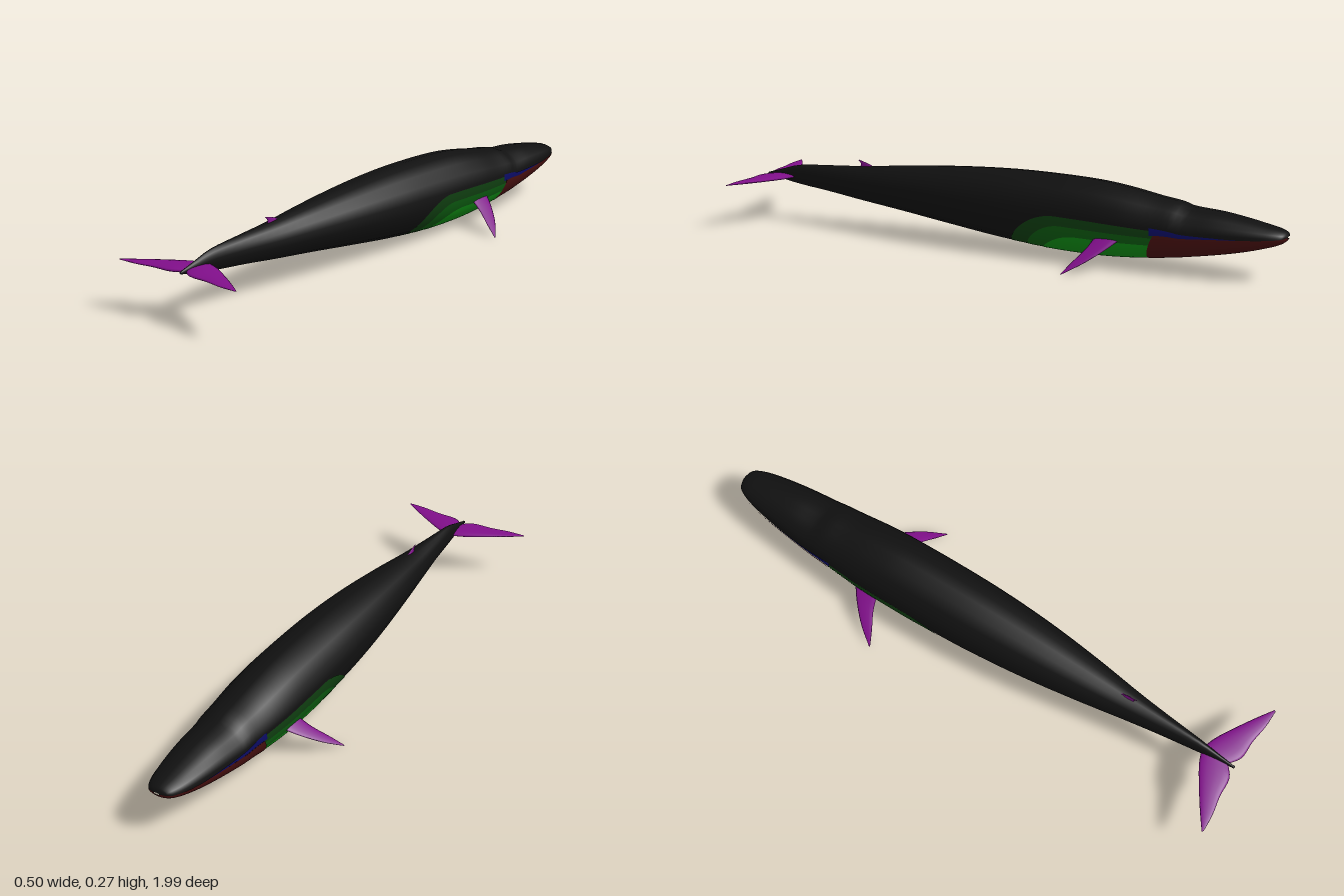
import * as THREE from 'three';
import { mergeVertices } from 'three/addons/utils/BufferGeometryUtils.js';

const mat = (name, color, side = THREE.FrontSide) => {
  const m = new THREE.MeshStandardMaterial({ color, side });
  m.name = name;
  return m;
};

// Body stations: z, top y, bottom y, half width (tail to snout)
const STATIONS = [
  [0.97, 0.162, 0.152, 0.004], [0.9, 0.183, 0.14, 0.011], [0.84, 0.2, 0.13, 0.018],
  [0.7, 0.212, 0.115, 0.035], [0.58, 0.221, 0.1, 0.052], [0.4, 0.24, 0.08, 0.08],
  [0.2, 0.258, 0.055, 0.105], [0, 0.269, 0.031, 0.12], [-0.18, 0.27, 0.018, 0.125],
  [-0.34, 0.264, 0.015, 0.125], [-0.45, 0.251, 0.02, 0.122], [-0.56, 0.232, 0.031, 0.113],
  [-0.605, 0.226, 0.038, 0.109], [-0.635, 0.221, 0.042, 0.107], [-0.665, 0.211, 0.047, 0.104],
  [-0.77, 0.203, 0.066, 0.093], [-0.86, 0.19, 0.086, 0.08], [-0.93, 0.177, 0.106, 0.065],
  [-0.97, 0.168, 0.12, 0.05], [-0.99, 0.159, 0.132, 0.034], [-0.998, 0.149, 0.143, 0.01],
];

// Smooth interpolation of the stations at any z
function section(z) {
  const S = STATIONS, n = S.length;
  let i = 0;
  while (i < n - 2 && z < S[i + 1][0]) i++;
  const a = S[i], b = S[i + 1], p = S[Math.max(i - 1, 0)], q = S[Math.min(i + 2, n - 1)];
  const d = b[0] - a[0], t = THREE.MathUtils.clamp((z - a[0]) / d, 0, 1);
  return [1, 2, 3].map((k) => {
    const m0 = ((b[k] - p[k]) / (b[0] - p[0])) * d, m1 = ((q[k] - a[k]) / (q[0] - a[0])) * d;
    const t2 = t * t, t3 = t2 * t;
    return (2 * t3 - 3 * t2 + 1) * a[k] + (t3 - 2 * t2 + t) * m0 + (3 * t2 - 2 * t3) * b[k] + (t3 - t2) * m1;
  });
}

// Point on the skin; the angle is measured from the keel towards +x
function skin(z, angle, offset = 0) {
  const [top, bottom, w] = section(z);
  return [(w + offset) * Math.sin(angle), (top + bottom) / 2 - ((top - bottom) / 2 + offset) * Math.cos(angle), z];
}

// Smooth grid surface from fn(u, v) -> [x, y, z]
function grid(nu, nv, fn) {
  const pos = [], index = [];
  for (let i = 0; i <= nu; i++) {
    for (let j = 0; j <= nv; j++) {
      pos.push(...fn(i / nu, j / nv));
      if (i === nu || j === nv) continue;
      const a = i * (nv + 1) + j, b = a + nv + 1;
      index.push(a, b, b + 1, a, b + 1, a + 1);
    }
  }
  let g = new THREE.BufferGeometry();
  g.setAttribute('position', new THREE.Float32BufferAttribute(pos, 3));
  g.setIndex(index);
  g = mergeVertices(g, 1e-5);
  g.computeVertexNormals();
  return g;
}

// Lens-shaped fin through [leading edge, trailing edge, half thickness] sections
function fin(sections, normal) {
  const lead = new THREE.CatmullRomCurve3(sections.map((s) => new THREE.Vector3(...s[0])));
  const trail = new THREE.CatmullRomCurve3(sections.map((s) => new THREE.Vector3(...s[1])));
  const thick = new THREE.CatmullRomCurve3(sections.map((s) => new THREE.Vector3(s[2], 0, 0)));
  const n = new THREE.Vector3(...normal).normalize();
  return grid(16, 12, (u, v) => {
    const a = v * Math.PI * 2;
    return lead.getPoint(u).lerp(trail.getPoint(u), 0.5 - 0.5 * Math.cos(a))
      .addScaledVector(n, Math.sin(a) * thick.getPoint(u).x).toArray();
  });
}

export function createModel() {
  const black = mat('black skin', 0x101010);
  const outerGreen = mat('dark green', 0x0f3d10);
  const midGreen = mat('middle green', 0x0c5a10);
  const brightGreen = mat('bright green', 0x0f8c14);
  const jawRed = mat('dark red', 0x481010);
  const blue = mat('dark blue', 0x0b0b62);
  const purple = mat('purple', 0x800f8a, THREE.DoubleSide);

  const model = new THREE.Group();
  const add = (name, geometry, material) => {
    const mesh = new THREE.Mesh(geometry, material);
    mesh.name = name;
    model.add(mesh);
    return mesh;
  };
  const lerp = THREE.MathUtils.lerp, rad = THREE.MathUtils.degToRad;

  // Body, with rings gathered towards the snout
  add('body', grid(90, 18, (u, v) => skin(lerp(0.97, -0.998, Math.sin(u * Math.PI / 2)), v * Math.PI * 2)), black);
  add('tailStub', new THREE.SphereGeometry(0.005, 10, 8).translate(0, 0.157, 0.97), black);

  // Nested belly patches, rounded at the back
  const belly = (name, material, back, length, degrees, offset) =>
    add(name, grid(40, 36, (u, v) => {
      const z = lerp(back, -0.578, u * u * 0.6 + u * 0.4);
      const k = Math.min((back - z) / length, 1);
      return skin(z, rad(degrees) * Math.sqrt(1 - (1 - k) ** 2) * (2 * v - 1), offset);
    }), material);
  belly('outerBelly', outerGreen, -0.035, 0.2, 96, 0.001);
  belly('middleBelly', midGreen, -0.095, 0.16, 82, 0.002);
  belly('innerBelly', brightGreen, -0.15, 0.16, 67, 0.003);

  // Lower jaw wraps the underside of the head, its back edge bowed
  add('lowerJaw', grid(40, 36, (u, v) => {
    const s = 2 * v - 1;
    const z = lerp(-0.535 - 0.045 * s * s, -0.998, Math.sin(u * Math.PI / 2));
    return skin(z, rad(88) * s, 0.004 - 0.002 * u);
  }), jawRed);

  // Tapering strip along each side of the mouth
  for (const side of [1, -1]) {
    add(side > 0 ? 'leftMouthStrip' : 'rightMouthStrip', grid(20, 4, (u, v) => {
      const k = side > 0 ? v : 1 - v;
      return skin(lerp(-0.565, -0.88, u), side * rad(87 + k * 14 * (1 - u)), 0.0022);
    }), blue);
  }

  // Paired flippers and tail flukes
  for (const side of [1, -1]) {
    const label = side > 0 ? 'left' : 'right';
    const flipper = add(label + 'Flipper', fin([
      [[0.1, 0.104, -0.468], [0.1, 0.104, -0.375], 0.007],
      [[0.15, 0.072, -0.432], [0.15, 0.069, -0.362], 0.005],
      [[0.205, 0.034, -0.38], [0.205, 0.031, -0.335], 0.003],
      [[0.25, 0, -0.32], [0.25, 0, -0.315], 0.0003],
    ], [0.57, 0.82, 0]), purple);
    flipper.scale.x = side;
    const fluke = add(label + 'Fluke', fin([
      [[0, 0.157, 0.85], [0, 0.157, 0.95], 0.008],
      [[0.05, 0.157, 0.868], [0.04, 0.157, 0.978], 0.009],
      [[0.12, 0.157, 0.908], [0.11, 0.157, 0.982], 0.007],
      [[0.19, 0.157, 0.952], [0.18, 0.157, 0.993], 0.004],
      [[0.245, 0.157, 0.99], [0.24, 0.157, 0.995], 0.0005],
    ], [0, 1, 0]), purple);
    fluke.scale.x = side;
  }

  // Small hooked fin on the back
  add('dorsalFin', fin([
    [[0, 0.215, 0.51], [0, 0.215, 0.585], 0.005],
    [[0, 0.232, 0.55], [0, 0.23, 0.582], 0.003],
    [[0, 0.243, 0.588], [0, 0.242, 0.592], 0.0005],
  ], [1, 0, 0]), purple);

  return model;
}
